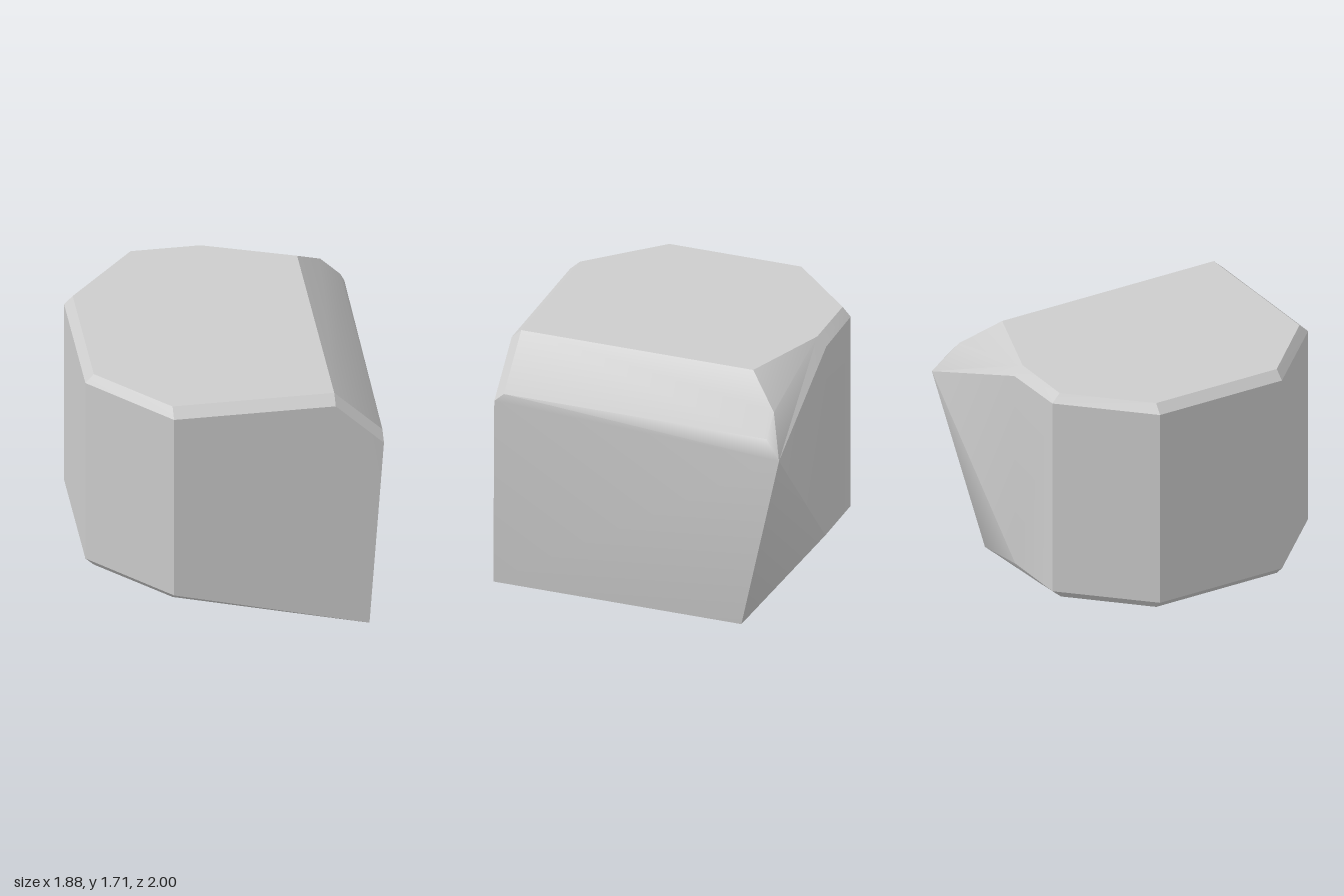
import * as THREE from 'three';
import { toCreasedNormals } from 'three/addons/utils/BufferGeometryUtils.js';

// Corner points of the chamfered block, by name
const P = {
  // top face
  tLB: [-0.89, 1.71, -0.45], tLF: [-0.89, 1.71, 0.45], tF: [-0.45, 1.71, 0.89],
  tRF: [0.59, 1.71, 0.89], tRB: [0.59, 1.71, -0.69], tBm: [0, 1.71, -0.9], tB: [-0.45, 1.71, -0.9],
  // upper ring, under the top bevel
  uLB: [-0.945, 1.65, -0.455], uLF: [-0.945, 1.65, 0.455], uF: [-0.45, 1.65, 0.955],
  uRF: [0.59, 1.65, 0.955], uB: [-0.45, 1.65, -0.955], uBm: [0, 1.65, -0.962],
  // right shoulder and pulled-out back corner
  sF: [0.9, 1.4, 0.89], sFo: [0.9, 1.34, 0.955], sB: [0.9, 1.4, -0.9], sBi: [0.77, 1.53, -0.9],
  tip: [0.94, 1.28, -1],
  // lower ring
  lLB: [-0.945, 0.305, -0.455], lLF: [-0.945, 0.305, 0.455], lF: [-0.45, 0.305, 0.955],
  lB: [-0.45, 0.305, -0.955], lBm: [0, 0.305, -0.955],
  // underside, sloping down to the right
  bLB: [-0.89, 0.25, -0.45], bLF: [-0.89, 0.25, 0.45], bF: [-0.45, 0.25, 0.89], bB: [-0.45, 0.25, -0.89],
  bRF: [0.8, 0, 1], bRB: [0.8, 0, -0.69],
};

// Each face is a fan around its first corner
const FACES = [
  'tLB tLF tF tRF tRB tBm tB',                                   // top
  'tLB tLF uLF uLB', 'tLF tF uF uLF', 'tF tRF uRF uF',           // top bevels
  'tLB tB uB uLB', 'tB tBm uBm uB', 'tRF sF sFo uRF',
  'tRF sF sB sBi tRB',                                           // right slope
  'tBm tRB sBi', 'tBm sBi tip', 'tBm tip uBm', 'sBi sB tip',     // back corner
  'sF tip sB', 'tip sF sFo bRF bRB',                             // right side
  'bRF lF uF uRF sFo',                                           // front
  'uLF uF lF lLF', 'uLB uLF lLF lLB', 'uLB uB lB lLB',           // left sides
  'uB uBm lBm lB', 'tip uBm lBm bRB',                            // back
  'lLF lF bF bLF', 'lLB lLF bLF bLB', 'lLB lB bB bLB',           // lower bevels
  'lF bRF bF', 'bRB lBm lB bB',
  'bRB bRF bF bLF bLB bB',                                       // underside
];

function blockGeometry() {
  const centre = new THREE.Vector3(0, 0.9, 0);
  const positions = [];
  for (const face of FACES) {
    const pts = face.split(' ').map((n) => new THREE.Vector3(...P[n]));
    for (let i = 1; i < pts.length - 1; i++) {
      const tri = new THREE.Triangle(pts[0], pts[i], pts[i + 1]);
      // turn every triangle outward
      const out = tri.getMidpoint(new THREE.Vector3()).sub(centre);
      const flip = tri.getNormal(new THREE.Vector3()).dot(out) < 0;
      const order = flip ? [tri.a, tri.c, tri.b] : [tri.a, tri.b, tri.c];
      for (const v of order) positions.push(v.x, v.y, v.z);
    }
  }
  const geometry = new THREE.BufferGeometry();
  geometry.setAttribute('position', new THREE.Float32BufferAttribute(positions, 3));
  return toCreasedNormals(geometry, THREE.MathUtils.degToRad(32));
}

export function createModel() {
  const stone = new THREE.MeshStandardMaterial({ color: 0xcccccc });
  stone.name = 'stone grey';
  const block = new THREE.Mesh(blockGeometry(), stone);
  block.name = 'chamferedBlock';
  const group = new THREE.Group();
  group.name = 'stoneBlock';
  group.add(block);
  return group;
}
